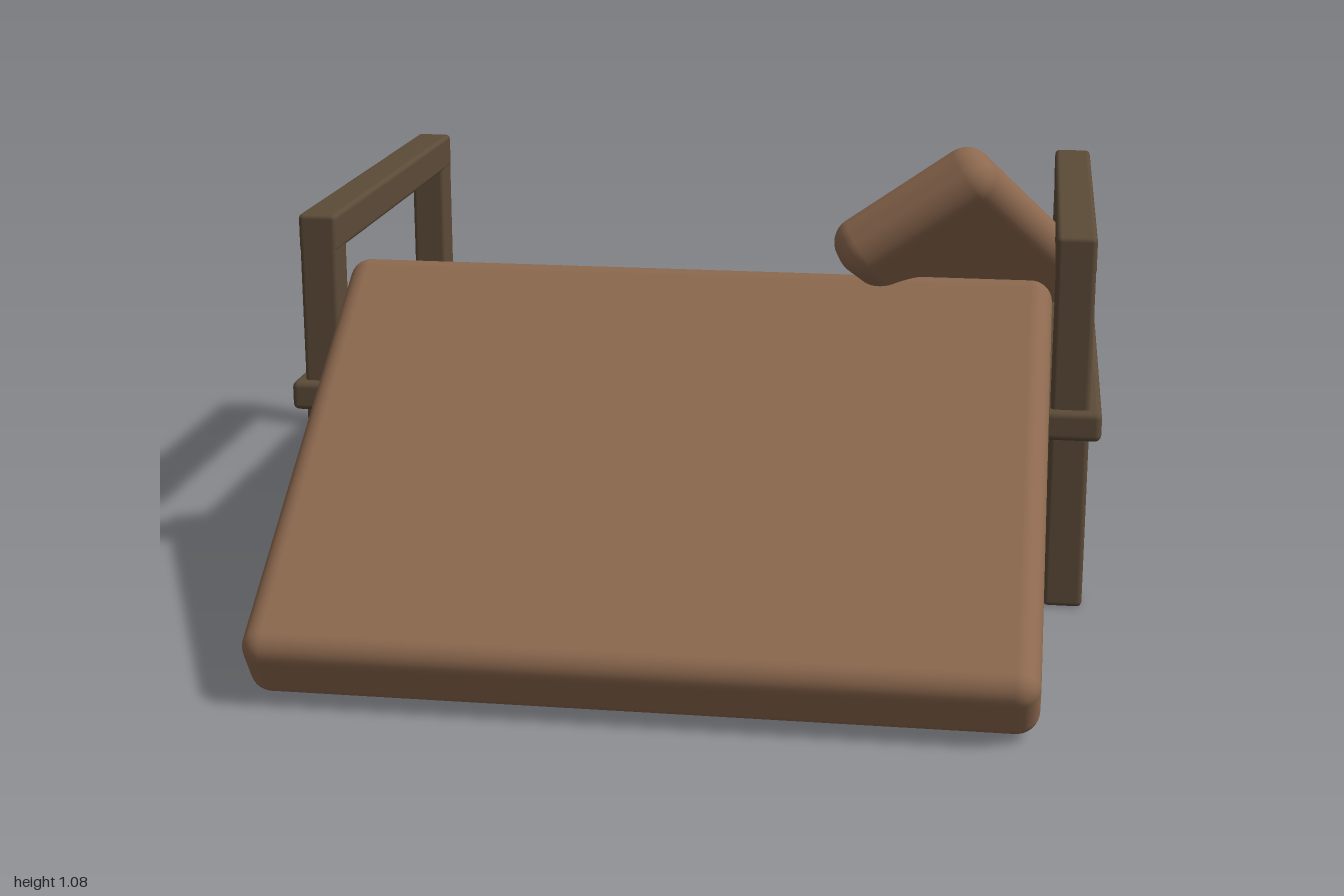
import * as THREE from 'three';
import { RoundedBoxGeometry } from 'three/addons/geometries/RoundedBoxGeometry.js';

export function createModel() {
  const model = new THREE.Group();
  const wood = new THREE.MeshStandardMaterial({ color: 0x5c4b38 });
  wood.name = 'darkWood';
  const fabric = new THREE.MeshStandardMaterial({ color: 0x8d694f });
  fabric.name = 'brownFabric';

  const addBox = (name, material, size, position, radius, segments = 2) => {
    const mesh = new THREE.Mesh(new RoundedBoxGeometry(...size, segments, radius), material);
    mesh.name = name;
    mesh.position.set(...position);
    model.add(mesh);
    return mesh;
  };

  // Seat platform
  addBox('platform', wood, [1.915, 0.07, 1.18], [0, 0.447, -0.41], 0.015);

  // Side frames: two posts and an armrest bar on each side
  for (const [side, s] of [['left', 1], ['right', -1]]) {
    const x = s * 0.885;
    addBox(side + 'FrontPost', wood, [0.09, 0.88, 0.09], [x, 0.44, 0.112], 0.012);
    addBox(side + 'BackPost', wood, [0.09, 0.88, 0.09], [x, 0.44, -0.925], 0.012);
    addBox(side + 'Armrest', wood, [0.092, 0.09, 1.127], [x, 0.842, -0.4065], 0.012);
  }

  // Seat cushion, slid off the front edge and resting on the ground
  const cushion = addBox('seatCushion', fabric, [1.67, 0.18, 1.168], [0, 0.385, 0.482], 0.05, 5);
  cushion.rotation.x = THREE.MathUtils.degToRad(33);

  // Loose pillow, tilted against the left armrest
  const pillow = addBox('pillow', fabric, [0.41, 0.14, 0.8], [0.63, 0.772, -0.14], 0.06, 6);
  const across = new THREE.Vector3(0.82, 0.574, 0).normalize();
  const along = new THREE.Vector3(-0.329, 0.47, 0.819).normalize();
  const normal = new THREE.Vector3().crossVectors(along, across).normalize();
  pillow.quaternion.setFromRotationMatrix(new THREE.Matrix4().makeBasis(across, normal, along));

  return model;
}
